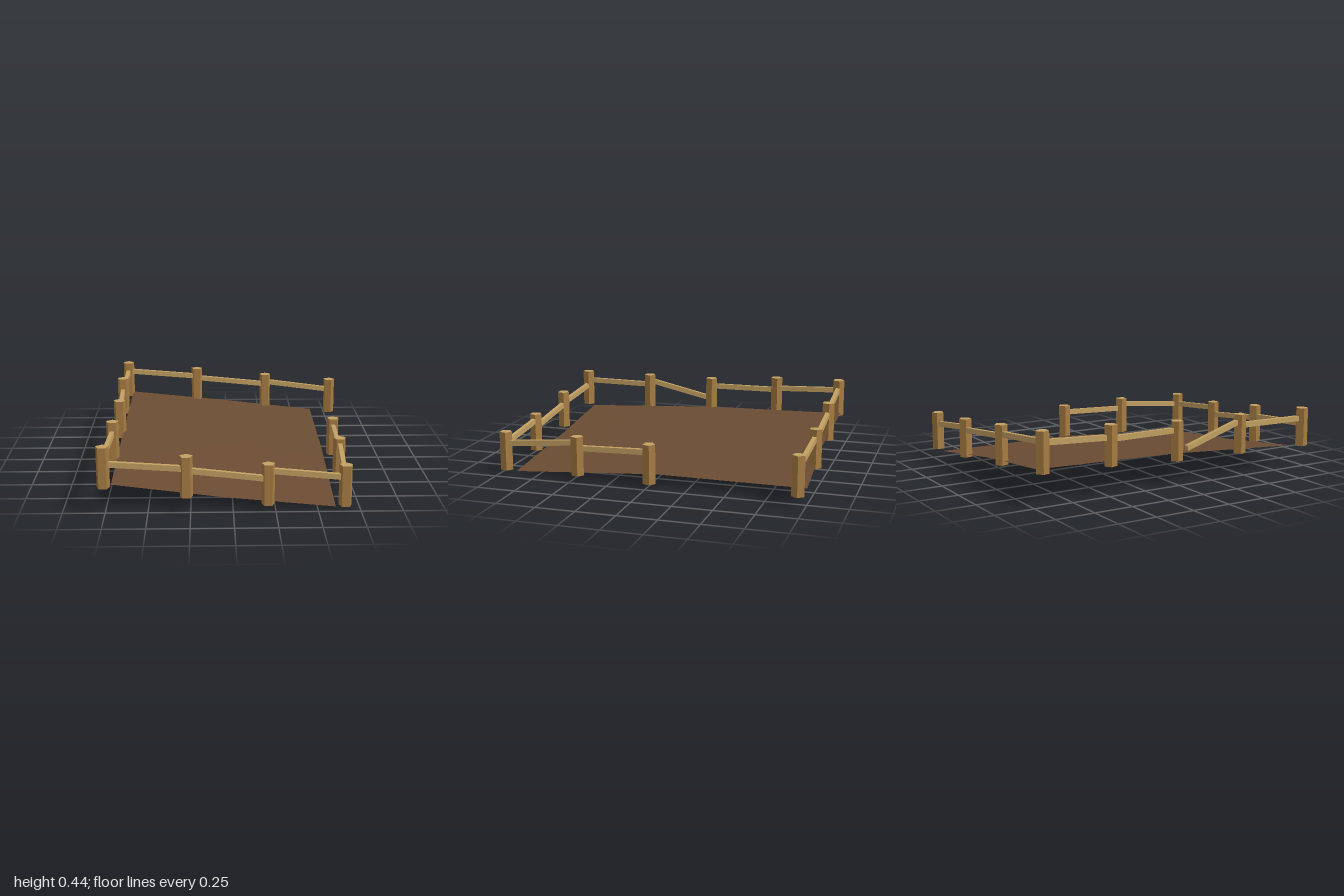
import * as THREE from 'three';

export function createModel() {
  const model = new THREE.Group();
  const soil = new THREE.MeshStandardMaterial({ name: 'soil brown', color: 0x6b4c33, side: THREE.DoubleSide });
  const bark = new THREE.MeshStandardMaterial({ name: 'post wood', color: 0xa67c42, flatShading: true });
  const cut = new THREE.MeshStandardMaterial({ name: 'cut wood', color: 0xc2a062, flatShading: true });

  // Sloping sheet of ground: rows run back to front, columns left to right
  const rows = [
    [[-0.70, 0.22, -0.96], [-0.04, 0.155, -0.95], [0.63, 0.07, -0.98]],
    [[-0.71, 0.20, -0.02], [-0.05, 0.14, -0.02], [0.62, 0.07, -0.03]],
    [[-0.72, 0.147, 0.905], [-0.05, 0.065, 0.912], [0.61, 0.005, 0.92]],
  ];
  const ground = new THREE.PlaneGeometry(1, 1, 2, 2);
  rows.flat().forEach((p, i) => ground.attributes.position.setXYZ(i, ...p));
  ground.computeVertexNormals();
  const groundMesh = new THREE.Mesh(ground, soil);
  groundMesh.name = 'ground';
  model.add(groundMesh);

  // Five-sided posts: x, bottom y, z, turn
  const H = 0.25;
  const postGeo = new THREE.CylinderGeometry(0.041, 0.041, H, 5);
  postGeo.rotateY(Math.PI);
  const posts = [
    [0.69, 0.03, -0.01, 0], [0.68, 0.04, 0.465, 0], [0.66, 0.03, 0.96, 0],
    [0.205, 0.04, 0.96, 0], [-0.275, 0.09, 0.96, 0], [-0.76, 0.15, 0.96, 0],
    [-0.74, 0.155, 0.465, 0], [-0.73, 0.16, -0.01, 0], [-0.74, 0.19, -0.49, 0],
    [-0.73, 0.20, -0.935, 0], [-0.225, 0.15, -0.95, 0], [0.285, 0.10, -0.96, 0],
    [0.765, 0.062, -0.95, -0.25],
  ];
  const postGroup = new THREE.Group();
  postGroup.name = 'posts';
  for (const [x, y, z, turn] of posts) {
    const post = new THREE.Mesh(postGeo, [bark, cut, bark]);
    post.name = 'post';
    post.position.set(x, y + H / 2, z);
    post.rotation.y = turn;
    postGroup.add(post);
  }
  model.add(postGroup);

  // Rails join neighbouring posts, given by start and end heights
  const railGroup = new THREE.Group();
  railGroup.name = 'rails';
  function addRail(name, a, b) {
    const from = new THREE.Vector3(...a), to = new THREE.Vector3(...b);
    const rail = new THREE.Mesh(new THREE.BoxGeometry(0.027, 0.034, from.distanceTo(to)), cut);
    rail.name = name;
    rail.position.copy(from).add(to).multiplyScalar(0.5);
    rail.lookAt(to);
    railGroup.add(rail);
  }
  const heights = [
    [0.23, 0.215], [0.25, 0.203], [0.205, 0.248], [0.198, 0.252], [0.262, 0.295],
    [0.332, 0.332], null, [0.352, 0.352], [0.362, 0.38],
    [0.385, 0.34], [0.328, 0.275], [0.293, 0.233],
  ];
  heights.forEach((h, i) => {
    if (!h) return;
    const p = posts[i], q = posts[i + 1];
    addRail('rail', [p[0], h[0], p[2]], [q[0], h[1], q[2]]);
  });
  // Loose rail hanging away from its far post
  addRail('looseRail', [-0.742, 0.362, 0.465], [-0.793, 0.247, 0.02]);
  model.add(railGroup);

  return model;
}
